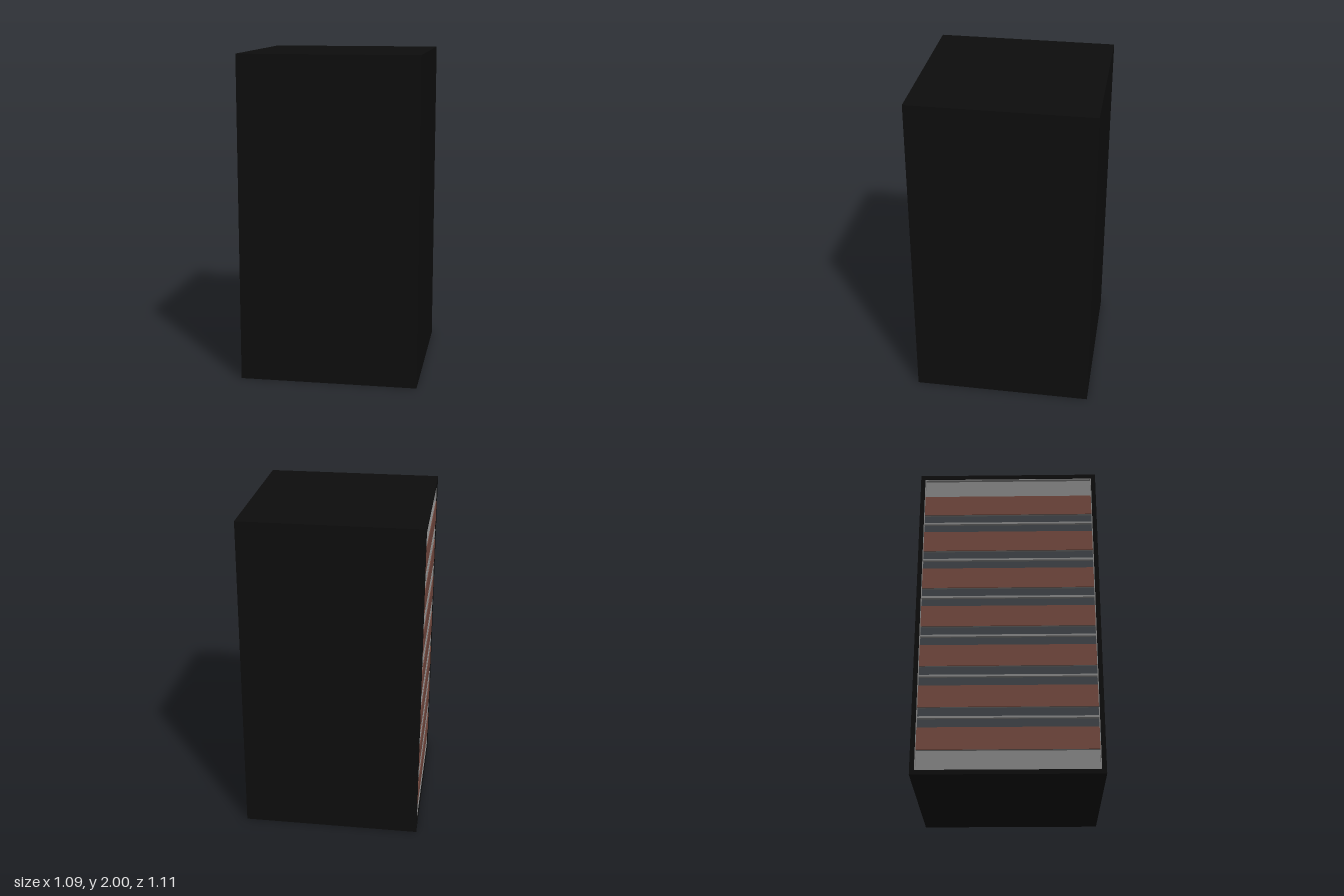
import * as THREE from 'three';

const W = 1.09, H = 2, D = 1.11;  // outer size
const WALL = 0.027;               // rim thickness around the open side
const RECESS = 0.03;              // depth of the open side

export function createModel() {
  const model = new THREE.Group();
  const mat = (name, color) => {
    const m = new THREE.MeshStandardMaterial({ color });
    m.name = name;
    return m;
  };
  const black = mat('black shell', 0x0d0d0d);
  const grey = mat('grey lining', 0x828282);
  const brown = mat('brown panel', 0x70473d);
  const slate = mat('slate glass', 0x3d4145);

  const box = (name, material, w, h, d, x, y, z) => {
    const mesh = new THREE.Mesh(new THREE.BoxGeometry(w, h, d), material);
    mesh.name = name;
    mesh.position.set(x, y, z);
    model.add(mesh);
    return mesh;
  };

  const left = -W / 2;               // plane of the open side
  const panelX = left + RECESS;      // plane of the recessed panel
  const innerD = D - 2 * WALL, innerH = H - 2 * WALL;

  // Shell: solid core with a rim standing around the recess
  box('core', black, W - RECESS, H, D, RECESS / 2, H / 2, 0);
  for (const s of [-1, 1]) {
    box('rimPost', black, RECESS, H, WALL, left + RECESS / 2, H / 2, s * (D - WALL) / 2);
    box('rimRail', black, RECESS, WALL, innerD, left + RECESS / 2, H / 2 + s * (H - WALL) / 2, 0);
  }

  // Grey lining of the recess: back panel and four thin sides
  const T = 0.005;
  box('backPanel', grey, T, innerH, innerD, panelX - T / 2, H / 2, 0);
  for (const s of [-1, 1]) {
    box('sideLining', grey, RECESS - T, innerH, T, left + (RECESS + T) / 2, H / 2, s * (innerD - T) / 2);
    box('edgeLining', grey, RECESS - T, T, innerD, left + (RECESS + T) / 2, H / 2 + s * (innerH - T) / 2, 0);
  }

  // Seven brown panels on grey shelves, with glazed strips between
  const floors = 7, pitch = 0.26, first = 0.215, panelH = 0.135;
  const runD = innerD - 2 * T;
  for (let i = 0; i < floors; i++) {
    const y = first + i * pitch;
    box('shelf', grey, 0.018, panelH, runD, panelX - T - 0.009, y, 0);
    box('frontPanel', brown, 0.005, panelH, runD, panelX - T - 0.0205, y, 0);
    if (i < floors - 1) {
      const gapY = y + pitch / 2;
      box('window', slate, 0.004, pitch - panelH, runD, panelX - T - 0.002, gapY, 0);
      box('ledge', grey, 0.022, 0.012, runD, panelX - T - 0.011, gapY, 0);
    }
  }

  return model;
}
